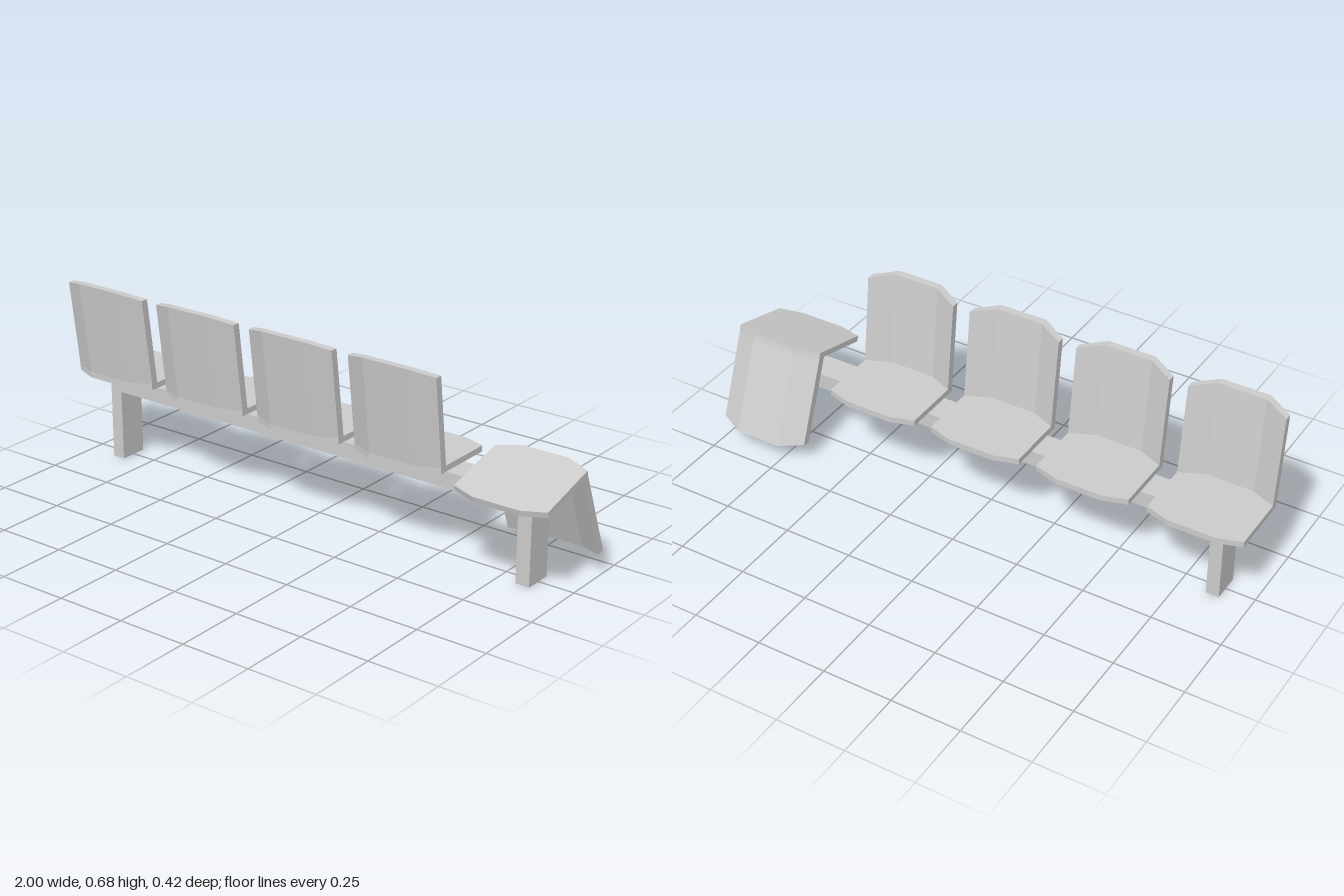
import * as THREE from 'three';

const material = new THREE.MeshStandardMaterial({ color: 0xcccccc, flatShading: true, side: THREE.DoubleSide });

// L-shaped seat outlines as [z, y]: the middle panel and the pulled-in side edges
const MIDDLE = [[-0.166, 0.32], [0.132, 0.32], [0.132, 0.341], [0.173, 0.678], [0.146, 0.678], [0.106, 0.341], [-0.166, 0.341]];
const SIDE = [[-0.139, 0.32], [0.096, 0.32], [0.096, 0.341], [0.1355, 0.657], [0.1085, 0.657], [0.069, 0.341], [-0.139, 0.341]];
const CAP = [[0, 1, 2], [0, 2, 5], [0, 5, 6], [2, 3, 4], [2, 4, 5]];

// Seat shell: outlines joined across four stations along x, closed at both ends
function seatGeometry() {
  const stations = [[-0.17, SIDE], [-0.085, MIDDLE], [0.085, MIDDLE], [0.17, SIDE]];
  const n = MIDDLE.length;
  const positions = [];
  const index = [];
  for (const [x, outline] of stations) {
    for (const [z, y] of outline) positions.push(x, y, z);
  }
  for (let s = 0; s < stations.length - 1; s++) {
    for (let i = 0; i < n; i++) {
      const j = (i + 1) % n;
      const a = s * n + i, b = s * n + j;
      index.push(a, a + n, b + n, a, b + n, b);
    }
  }
  const last = (stations.length - 1) * n;
  for (const [a, b, c] of CAP) {
    index.push(a, b, c, last + a, last + c, last + b);
  }
  const indexed = new THREE.BufferGeometry();
  indexed.setAttribute('position', new THREE.Float32BufferAttribute(positions, 3));
  indexed.setIndex(index);
  const geometry = indexed.toNonIndexed();
  geometry.computeVertexNormals();
  return geometry;
}

// Beam with a leg at each end, cut from one bridge-shaped outline
function frameGeometry() {
  const depth = 0.104;
  const outline = [[-0.893, 0], [-0.846, 0], [-0.846, 0.256], [0.818, 0.256], [0.818, 0], [0.869, 0], [0.869, 0.313], [-0.893, 0.313]];
  const shape = new THREE.Shape(outline.map(([x, y]) => new THREE.Vector2(x, y)));
  const geometry = new THREE.ExtrudeGeometry(shape, { depth, bevelEnabled: false });
  return geometry.translate(0, 0, 0.002 - depth / 2);
}

export function createModel() {
  const bench = new THREE.Group();
  bench.name = 'seatBench';

  const frame = new THREE.Mesh(frameGeometry(), material);
  frame.name = 'frame';
  bench.add(frame);

  // Four upright seats in a row
  const seatShape = seatGeometry();
  for (let i = 0; i < 4; i++) {
    const seat = new THREE.Mesh(seatShape, material);
    seat.name = `seat${i + 1}`;
    seat.position.x = -0.83 + i * 0.405;
    bench.add(seat);
  }

  // Fifth seat, tipped upside down over the end of the beam
  const tippedSeat = new THREE.Mesh(seatShape, material);
  tippedSeat.name = 'tippedSeat';
  tippedSeat.rotation.x = -2.885;
  tippedSeat.position.set(0.83, 0.685, 0.127);
  bench.add(tippedSeat);

  return bench;
}
